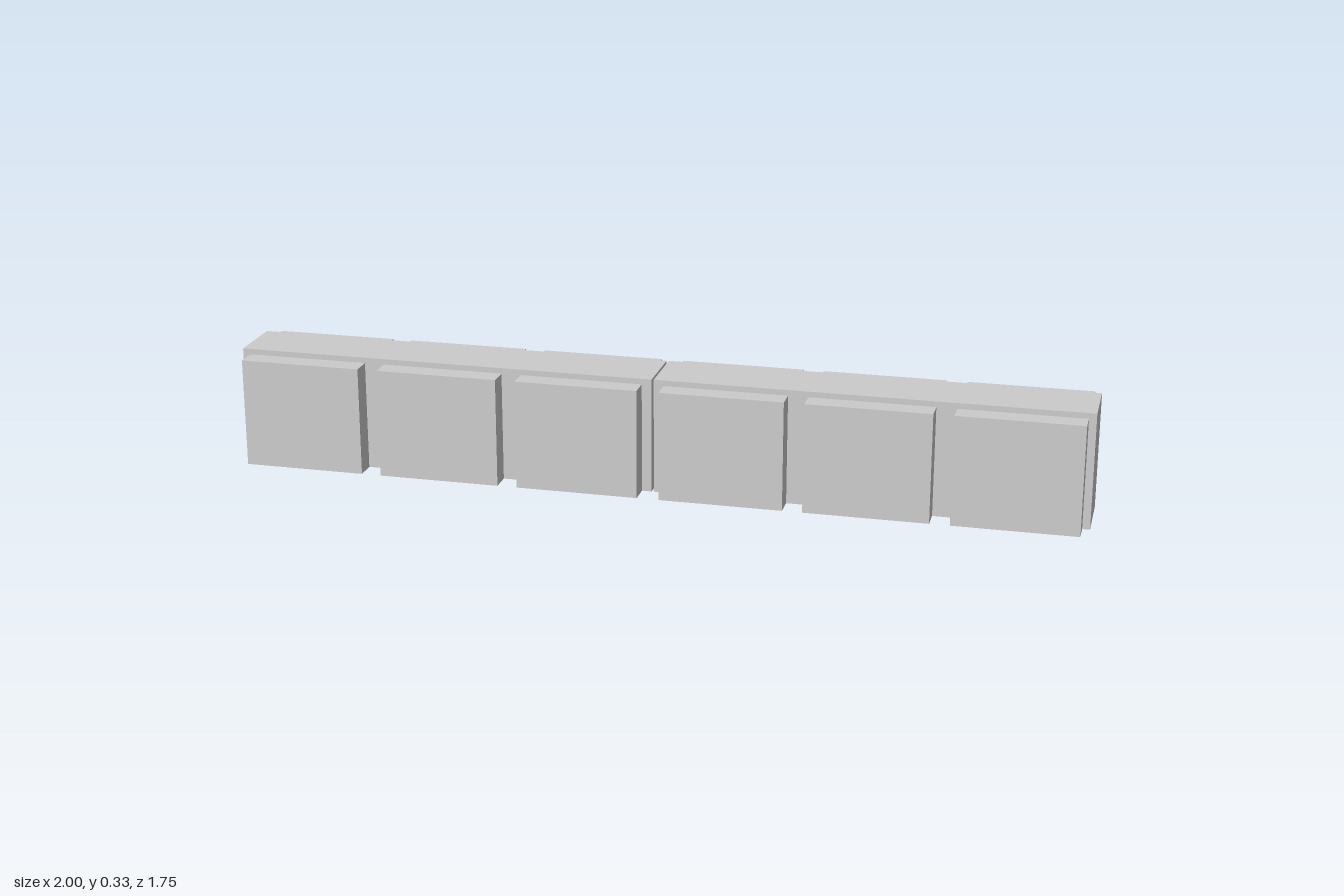
import * as THREE from 'three';

export function createModel() {
  const model = new THREE.Group();
  model.name = 'wall';
  const material = new THREE.MeshStandardMaterial({ color: 0xcccccc, flatShading: true });

  // Box standing on the ground, in the wall's own frame (x along its length)
  function block(name, length, height, depth, x, z) {
    const mesh = new THREE.Mesh(new THREE.BoxGeometry(length, height, depth), material);
    mesh.name = name;
    mesh.position.set(x, height / 2, z);
    return mesh;
  }

  const pitch = 0.403, panelLength = 0.347, panelHeight = 0.312;
  const coreLength = 1.202, coreDepth = 0.176, coreHeight = 0.328;
  const panelDepth = 0.06;

  for (const side of [-1, 1]) {
    // Each half of the wall: a tall core with three panels on both faces
    const section = new THREE.Group();
    section.name = side < 0 ? 'rightSection' : 'leftSection';
    section.add(block('core', coreLength, coreHeight, coreDepth, side * (coreLength / 2 + 0.003), 0));
    for (let i = 0; i < 3; i++) {
      const x = side * pitch * (i + 0.5) + side * 0.003;
      const z = coreDepth / 2 + panelDepth / 2;
      section.add(block('frontPanel', panelLength, panelHeight, panelDepth, x, z));
      section.add(block('backPanel', panelLength, panelHeight, panelDepth, x, -z));
    }
    model.add(section);
  }

  // The wall runs diagonally across the ground
  model.rotation.y = -THREE.MathUtils.degToRad(40.2);
  const root = new THREE.Group();
  root.name = 'diagonalWall';
  root.add(model);
  return root;
}
